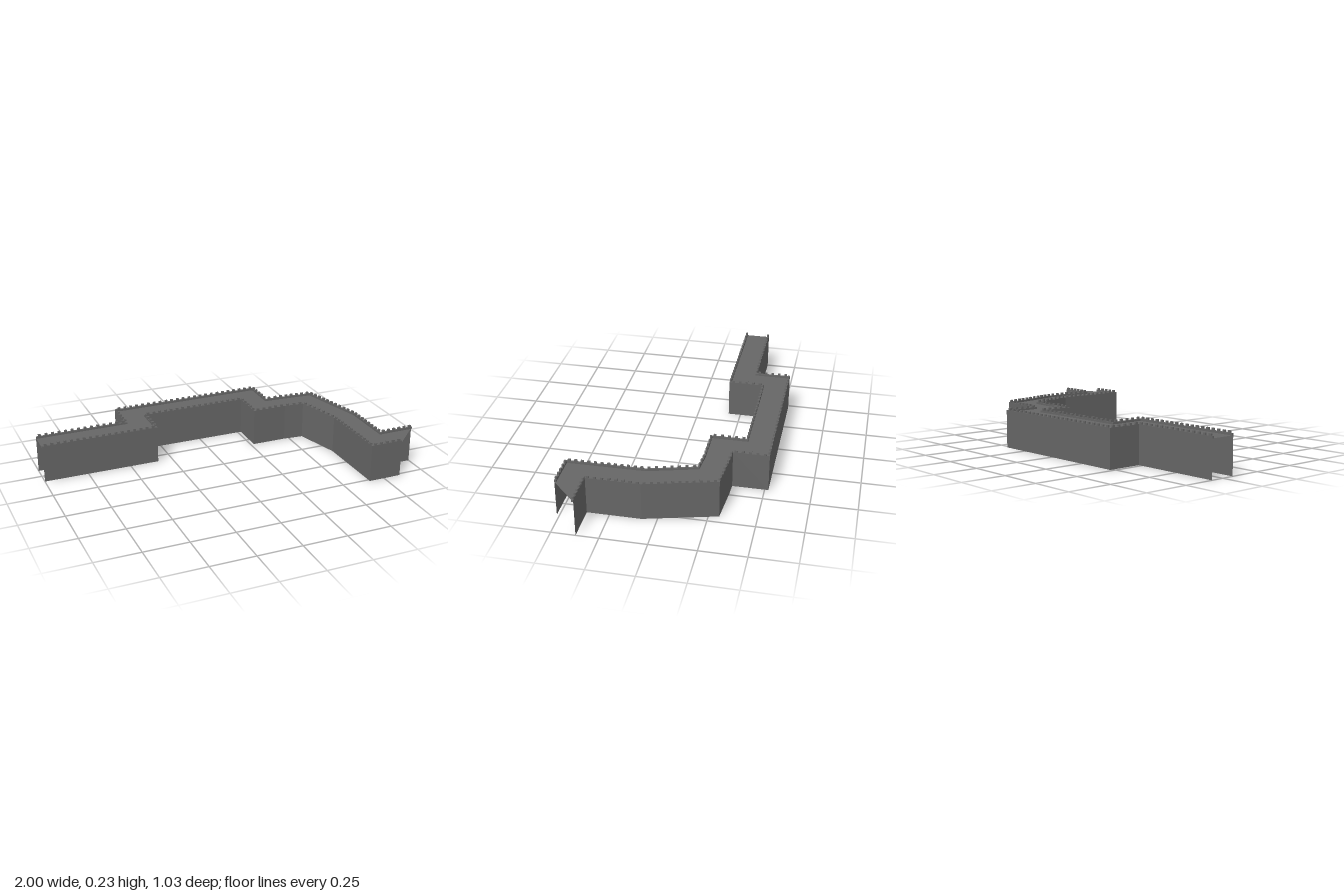
import * as THREE from 'three';
import { mergeGeometries } from 'three/addons/utils/BufferGeometryUtils.js';

const DECK = 0.203, TOP = 0.214, MERLON = 0.0115, THICK = 0.01, PITCH = 0.0365;

// Plan outlines of the two faces as [x, z], both running from -x to +x
const BACK = [[-1, -0.325], [-0.48, -0.325], [-0.48, -0.52], [0.415, -0.52], [0.415, -0.325],
  [0.49, -0.322], [0.7, -0.305], [0.8, 0.08], [0.8, 0.37], [1, 0.37]];
const FRONT = [[-1, -0.18], [-0.335, -0.18], [-0.335, -0.375], [0.27, -0.375], [0.27, -0.18],
  [0.47, -0.18], [0.585, -0.17], [0.655, 0.09], [0.66, 0.515], [0.85, 0.515]];

const toPoints = (path) => path.map(([x, z]) => new THREE.Vector2(x, z));

// Shift a path sideways with mitred corners
function offsetPath(pts, d) {
  const normals = pts.slice(1).map((p, i) => {
    const t = p.clone().sub(pts[i]).normalize();
    return new THREE.Vector2(-t.y, t.x);
  });
  return pts.map((p, i) => {
    const a = normals[Math.max(i - 1, 0)], b = normals[Math.min(i, normals.length - 1)];
    const m = a.clone().add(b);
    return p.clone().addScaledVector(m, d / (1 + a.dot(b)));
  });
}

// Closed plan shape between two paths; z is flipped for the later rotation
const planShape = (a, b) =>
  new THREE.Shape([...a, ...b.slice().reverse()].map((p) => new THREE.Vector2(p.x, -p.y)));

// Thin upright sheet along a path
function wallGeometry(pts) {
  return mergeGeometries(pts.slice(1).map((b, i) => {
    const a = pts[i], mid = a.clone().add(b).multiplyScalar(0.5);
    return new THREE.PlaneGeometry(a.distanceTo(b), TOP)
      .rotateY(-Math.atan2(b.y - a.y, b.x - a.x))
      .translate(mid.x, TOP / 2, mid.y);
  }));
}

// Small teeth spaced evenly along each straight run
function merlonGeometry(pts) {
  const boxes = [];
  pts.slice(1).forEach((b, i) => {
    const a = pts[i], n = Math.max(1, Math.round(a.distanceTo(b) / PITCH));
    for (let k = 0; k < n; k++) {
      const p = a.clone().lerp(b, (k + 0.5) / n);
      boxes.push(new THREE.BoxGeometry(0.015, MERLON, THICK)
        .rotateY(-Math.atan2(b.y - a.y, b.x - a.x))
        .translate(p.x, TOP + MERLON / 2, p.y));
    }
  });
  return mergeGeometries(boxes);
}

export function createModel() {
  const group = new THREE.Group();
  const stone = new THREE.MeshStandardMaterial({ color: 0x666666, side: THREE.DoubleSide });
  const add = (name, geometry) => {
    const mesh = new THREE.Mesh(geometry, stone);
    mesh.name = name;
    group.add(mesh);
  };

  const back = toPoints(BACK), front = toPoints(FRONT);

  // Walkway between the faces, open below
  add('walkway', new THREE.ShapeGeometry(planShape(back, front))
    .rotateX(-Math.PI / 2).translate(0, DECK, 0));

  // Each face: outer sheet, low parapet and its teeth
  for (const [side, pts, sign] of [['back', back, 1], ['front', front, -1]]) {
    add(side + 'Wall', wallGeometry(pts));
    const inner = offsetPath(pts, sign * THICK);
    add(side + 'Parapet', new THREE.ExtrudeGeometry(planShape(pts, inner),
      { depth: TOP - DECK, bevelEnabled: false }).rotateX(-Math.PI / 2).translate(0, DECK, 0));
    add(side + 'Merlons', merlonGeometry(offsetPath(pts, sign * THICK / 2)));
  }
  return group;
}
